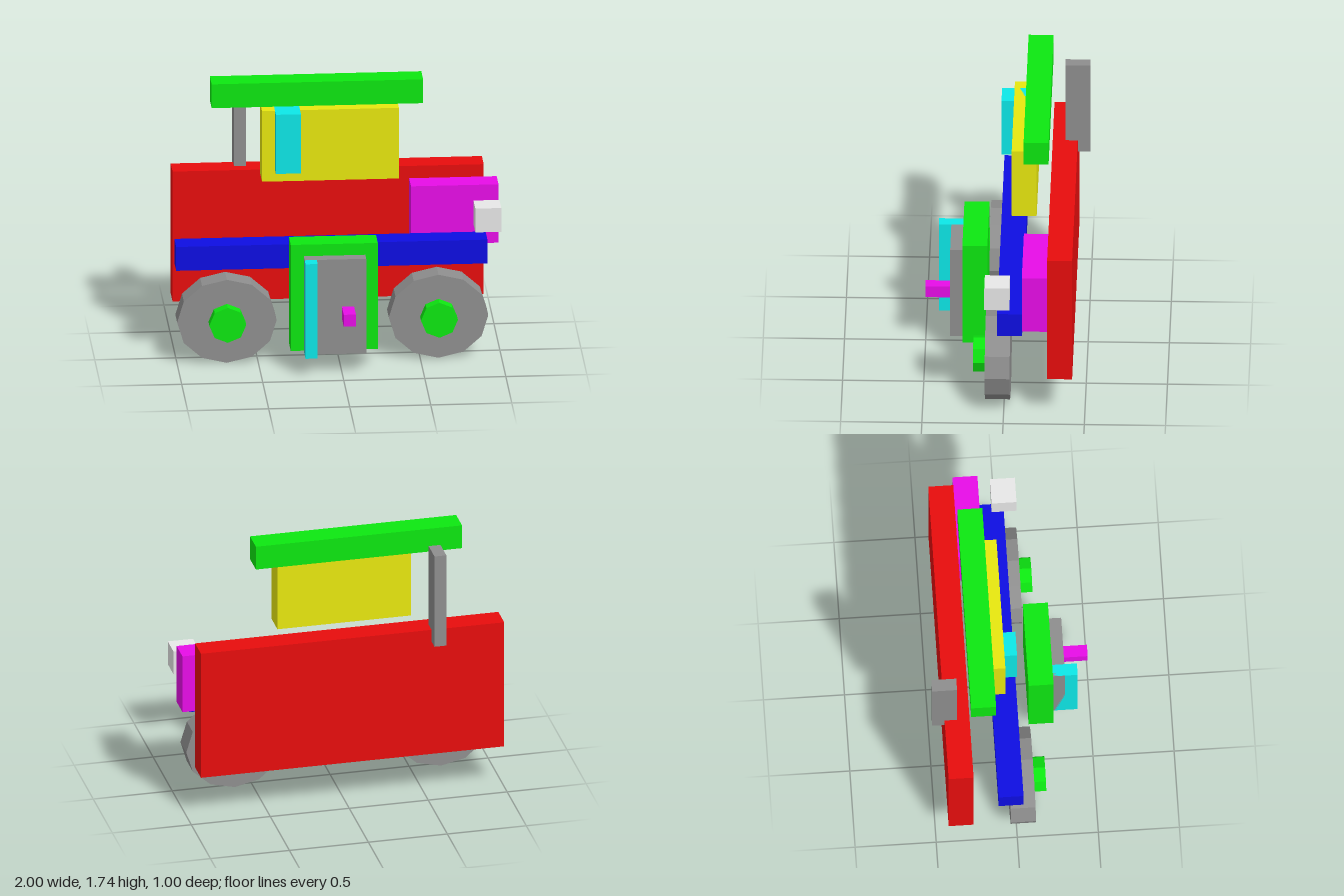
import * as THREE from 'three';

const paint = (name, color) => {
  const m = new THREE.MeshStandardMaterial({ color });
  m.name = name;
  return m;
};

export function createModel() {
  const red = paint('red', 0xf00e0e), green = paint('green', 0x0ef012);
  const blue = paint('blue', 0x0e0ee2), yellow = paint('yellow', 0xf0f010);
  const cyan = paint('cyan', 0x0ef0f0), magenta = paint('magenta', 0xf00ef0);
  const grey = paint('grey', 0x8e8e8e), pale = paint('pale', 0xf0f0f0);

  const model = new THREE.Group();
  model.name = 'layeredTruck';
  const T = 0.154; // every part is a slab of this thickness

  const add = (name, geometry, material, x, y, z) => {
    const mesh = new THREE.Mesh(geometry, material);
    mesh.name = name;
    mesh.position.set(x, y, z);
    model.add(mesh);
  };
  // Slab from its front outline and the z of its back face
  const slab = (name, material, x0, x1, y0, y1, back) =>
    add(name, new THREE.BoxGeometry(x1 - x0, y1 - y0, T), material,
      (x0 + x1) / 2, (y0 + y1) / 2, back + T / 2);
  // Faceted disc facing the front, with a corner on each axis
  const disc = (name, material, x, y, rx, ry, sides, back) => {
    const g = new THREE.CylinderGeometry(1, 1, T, sides).toNonIndexed();
    g.rotateX(Math.PI / 2).scale(rx, ry, 1);
    g.computeVertexNormals();
    add(name, g, material, x, y, back + T / 2);
  };

  // Body, from back to front
  slab('exhaustPipe', grey, -0.615, -0.54, 1.04, 1.655, -0.5);
  slab('body', red, -1, 0.92, 0.275, 1.12, -0.423);
  slab('roof', green, -0.77, 0.535, 1.58, 1.735, -0.269);
  slab('engineCover', magenta, 0.46, 1, 0.66, 1.04, -0.269);
  slab('cabin', yellow, -0.465, 0.38, 1.12, 1.58, -0.192);
  slab('cabinWindow', cyan, -0.385, -0.23, 1.195, 1.58, -0.115);
  slab('sideStripe', blue, -1, 0.92, 0.58, 0.735, -0.115);
  slab('headlight', pale, 0.84, 1, 0.81, 0.965, -0.038);

  // Wheels with hubs
  for (const x of [-0.693, 0.613]) {
    disc('wheel', grey, x, 0.27, 0.307, 0.27, 12, -0.038);
    disc('hub', green, x, 0.27, 0.114, 0.114, 8, 0.038);
  }

  // Door
  slab('doorFrame', green, -0.31, 0.227, 0.12, 0.81, 0.115);
  slab('door', grey, -0.23, 0.15, 0.12, 0.735, 0.192);
  slab('doorStrip', cyan, -0.23, -0.155, 0.12, 0.735, 0.269);
  slab('doorKnob', magenta, 0, 0.075, 0.35, 0.427, 0.346);

  return model;
}
